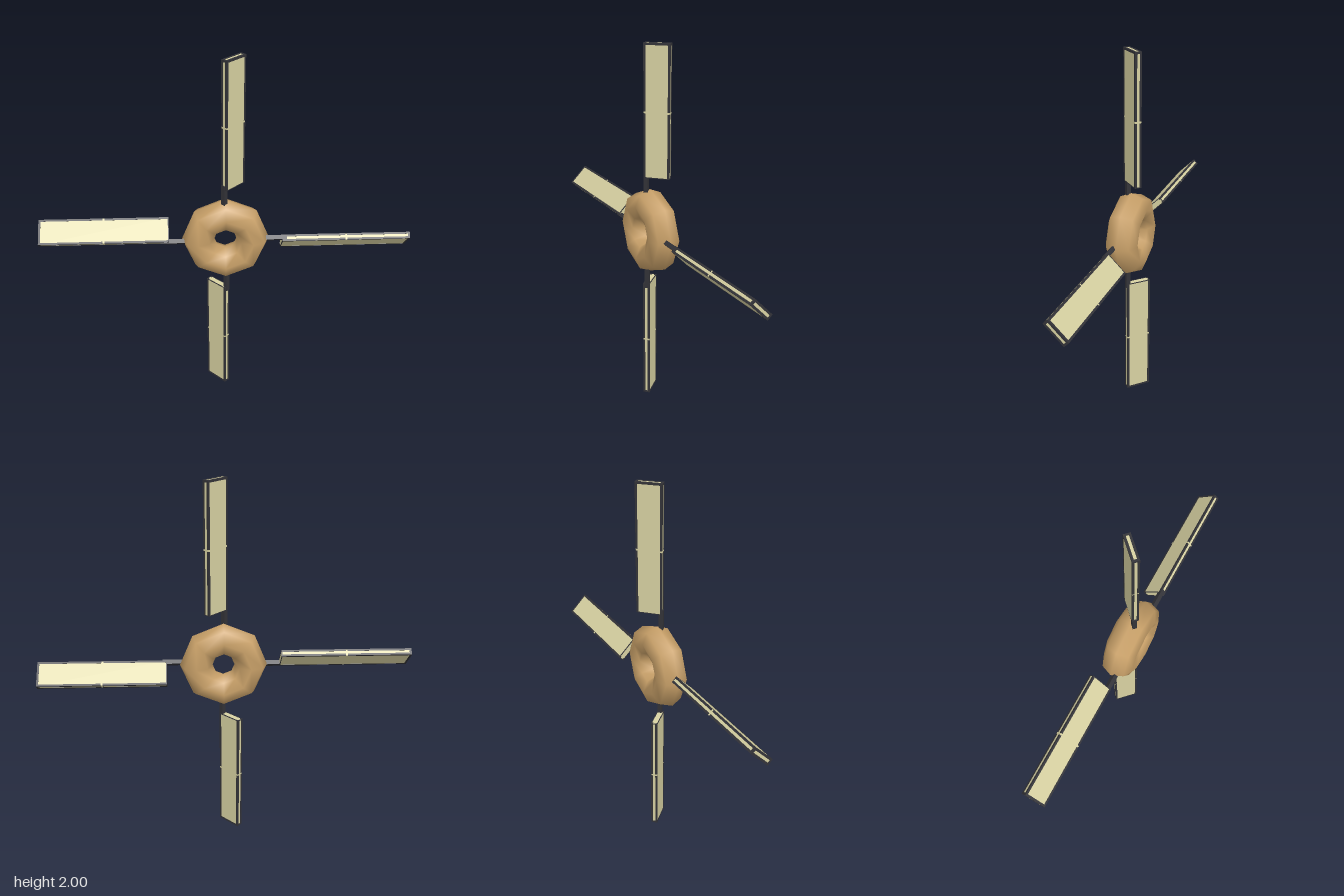
import * as THREE from 'three';

const wood = new THREE.MeshStandardMaterial({ color: 0xc8a068 });
const cloth = new THREE.MeshStandardMaterial({ color: 0xd8d2a2 });
const dark = new THREE.MeshStandardMaterial({ color: 0x333338 });

function box(parent, name, mat, size, pos) {
  const mesh = new THREE.Mesh(new THREE.BoxGeometry(...size), mat);
  mesh.name = name;
  mesh.position.set(...pos);
  parent.add(mesh);
}

// One sail reaching along +x, pitched 45 degrees about its own length
function createSail() {
  const sail = new THREE.Group();
  const x0 = 0.305, x1 = 1, width = 0.139, thick = 0.036;
  const cy = -0.044, cz = 0.014, bar = 0.011, gap = 0.01, lip = 0.001;
  const mid = (x0 + x1) / 2, half = (x1 - x0 - gap) / 2;

  box(sail, 'arm', dark, [0.16, 0.024, 0.024], [0.25, 0.018, 0.01]);
  box(sail, 'sailPanel', cloth, [x1 - x0 - 2 * lip, width - 2 * lip, thick - 2 * lip], [mid, cy, cz]);

  // long edge bars, split by a small gap at mid length
  for (const sy of [-1, 1]) for (const sz of [-1, 1]) for (const sx of [-1, 1]) {
    box(sail, 'edgeBar', dark, [half, bar, bar],
      [mid + sx * (half + gap) / 2, cy + sy * (width - bar) / 2, cz + sz * (thick - bar) / 2]);
  }

  // end frames: a broad one at the tip and a narrow one by the hub
  for (const [x, w] of [[x1 - bar / 2, bar], [x0 + 0.002, 0.004]]) {
    for (const s of [-1, 1]) {
      box(sail, 'endBar', dark, [w, width - 2 * bar, w], [x, cy, cz + s * (thick - w) / 2]);
      box(sail, 'endBar', dark, [w, w, thick - 2 * bar], [x, cy + s * (width - w) / 2, cz]);
    }
  }
  sail.rotation.x = Math.PI / 4;
  return sail;
}

export function createModel() {
  const model = new THREE.Group();
  model.name = 'windmillSails';

  // octagonal ring hub
  const hub = new THREE.Mesh(new THREE.TorusGeometry(0.147, 0.088, 8, 8), wood);
  hub.name = 'hub';
  hub.position.y = 1;
  model.add(hub);

  // four sails around the hub
  for (let i = 0; i < 4; i++) {
    const spoke = new THREE.Group();
    spoke.name = 'sail';
    spoke.add(createSail());
    spoke.position.y = 1;
    spoke.rotation.z = i * Math.PI / 2;
    model.add(spoke);
  }
  return model;
}
